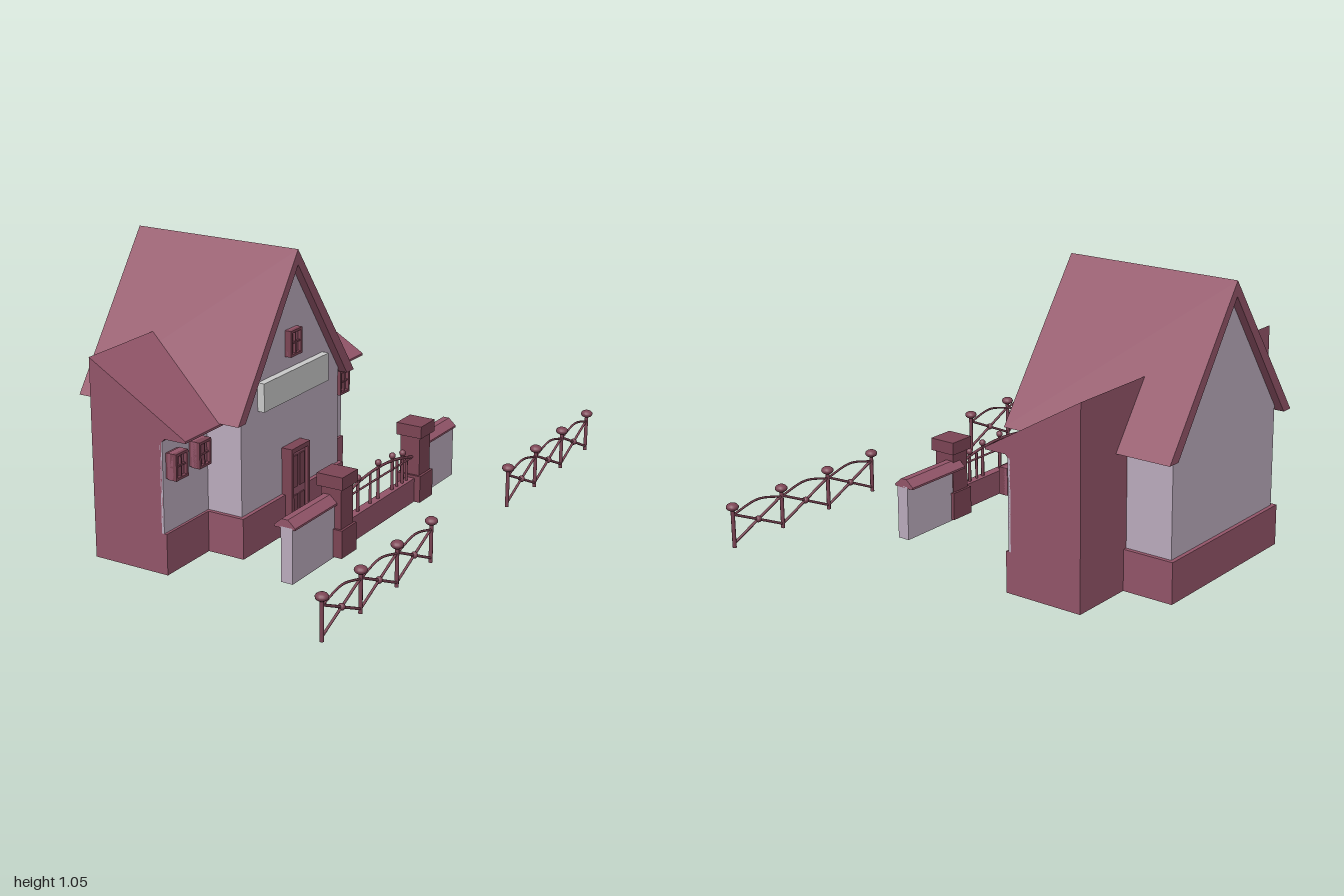
import * as THREE from 'three';

const mat = (color, side = THREE.FrontSide) =>
  new THREE.MeshStandardMaterial({ color, flatShading: true, side });
const RED = mat(0x94566a), DARK = mat(0x7d4555), WALL = mat(0xbdadbf), GREY = mat(0xcccccc);
const METAL = new THREE.MeshStandardMaterial({ color: 0x7d4555 });

function add(parent, name, geometry, material) {
  const m = new THREE.Mesh(geometry, material);
  m.name = name;
  parent.add(m);
  return m;
}

function group(parent, name) {
  const g = new THREE.Group();
  g.name = name;
  parent.add(g);
  return g;
}

// Box given by its limits on each axis
function box(parent, name, [x0, x1], [y0, y1], [z0, z1], material) {
  const m = add(parent, name, new THREE.BoxGeometry(x1 - x0, y1 - y0, z1 - z0), material);
  m.position.set((x0 + x1) / 2, (y0 + y1) / 2, (z0 + z1) / 2);
  return m;
}

// Profile of [x, y] points, extruded from z0 to z1
function alongZ(parent, name, pts, z0, z1, material) {
  const shape = new THREE.Shape(pts.map(p => new THREE.Vector2(...p)));
  const g = new THREE.ExtrudeGeometry(shape, { depth: z1 - z0, bevelEnabled: false });
  return add(parent, name, g.translate(0, 0, z0), material);
}

// Profile of [z, y] points, extruded from x0 to x1
function alongX(parent, name, pts, x0, x1, material) {
  const shape = new THREE.Shape(pts.map(([z, y]) => new THREE.Vector2(-z, y)));
  const g = new THREE.ExtrudeGeometry(shape, { depth: x1 - x0, bevelEnabled: false });
  return add(parent, name, g.rotateY(Math.PI / 2).translate(x0, 0, 0), material);
}

// Tube through [z, y] points at a fixed x
function rail(parent, name, x, pts, r) {
  const curve = new THREE.CatmullRomCurve3(pts.map(([z, y]) => new THREE.Vector3(x, y, z)));
  return add(parent, name, new THREE.TubeGeometry(curve, pts.length > 2 ? 16 : 1, r, 6), METAL);
}

function ball(parent, name, x, y, z, r, squash = 1) {
  const m = add(parent, name, new THREE.SphereGeometry(r, 14, 10), METAL);
  m.scale.y = squash;
  m.position.set(x, y, z);
}

function post(parent, name, x, y0, y1, z, r) {
  const m = add(parent, name, new THREE.CylinderGeometry(r, r, y1 - y0, 8), METAL);
  m.position.set(x, (y0 + y1) / 2, z);
}

// Framed window with a cross bar, facing +x
function window4(parent, x, y0, y1, z0, z1) {
  const g = group(parent, 'window'), t = 0.009, f = x + 0.025;
  const zc = (z0 + z1) / 2, yc = (y0 + y1) / 2;
  box(g, 'windowPane', [x - 0.01, x + 0.012], [y0, y1], [z0, z1], RED);
  for (const z of [z0, z1 - t]) box(g, 'windowJamb', [x, f], [y0, y1], [z, z + t], DARK);
  for (const y of [y0, y1 - t]) box(g, 'windowRail', [x, f], [y, y + t], [z0 + t, z1 - t], DARK);
  box(g, 'windowMullion', [x, f - 0.004], [y0, y1], [zc - 0.003, zc + 0.003], DARK);
  box(g, 'windowBar', [x, f - 0.005], [yc - 0.003, yc + 0.003], [z0, z1], DARK);
}

function buildHouse(root) {
  const house = group(root, 'house');
  alongX(house, 'gableWalls',
    [[0.37, 0.1], [0.37, 0.545], [0.05, 1.01], [-0.27, 0.545], [-0.27, 0.1]], -0.65, -0.035, WALL);
  box(house, 'plinth', [-0.665, -0.02], [0.02, 0.17], [-0.285, 0.385], RED);
  alongX(house, 'mainRoof',
    [[0.43, 0.52], [0.05, 1.055], [-0.335, 0.52], [-0.285, 0.52], [0.05, 1.0], [0.385, 0.52]],
    -0.68, -0.005, RED);

  // Cross wing with a lean-to roof, running out on both sides
  const wing = group(house, 'crossWing');
  alongZ(wing, 'wingBody',
    [[-0.47, 0.02], [-0.165, 0.02], [-0.165, 0.17], [-0.18, 0.17], [-0.18, 0.495], [-0.165, 0.51],
      [-0.08, 0.51], [-0.08, 0.518], [-0.47, 0.745]], -0.53, 0.63, RED);
  box(wing, 'wingFrontWall', [-0.185, -0.175], [0.17, 0.5], [-0.53, 0.63], WALL);
  for (const z of [0.41, 0.545, -0.38, -0.52]) window4(wing, -0.155, 0.362, 0.457, z, z + 0.07);
  for (const z of [0.41, 0.545, -0.38, -0.52])
    box(wing, 'windowReveal', [-0.176, -0.154], [0.364, 0.455], [z + 0.003, z + 0.067], DARK);

  window4(house, -0.035, 0.675, 0.77, 0.015, 0.09);
  box(house, 'signBoard', [-0.036, -0.008], [0.525, 0.628], [-0.16, 0.265], GREY);

  // Front door with frame and sunken panels
  const door = group(house, 'door');
  box(door, 'doorLeaf', [-0.045, -0.006], [0.005, 0.335], [0.0, 0.108], RED);
  for (const z of [-0.008, 0.1]) box(door, 'doorJamb', [-0.045, 0.008], [0, 0.345], [z, z + 0.014], DARK);
  box(door, 'doorLintel', [-0.045, 0.008], [0.328, 0.345], [0.006, 0.1], DARK);
  box(door, 'doorStep', [-0.045, 0.008], [0, 0.012], [0.006, 0.1], DARK);
  for (const y of [0.04, 0.19]) for (const z of [0.016, 0.06])
    box(door, 'doorPanel', [-0.01, -0.001], [y, y + 0.12], [z, z + 0.03], DARK);
}

function buildGardenWall(root) {
  const garden = group(root, 'gardenWall');
  // Each side: pillar centre x and z, wall centre x, wall z limits
  const sides = [[0.322, 0.33, 0.305, 0.33, 0.63], [0.303, -0.25, 0.282, -0.53, -0.25]];
  for (const [px, pz, wx, z0, z1] of sides) {
    const slab = (name, h, y0, y1) =>
      box(garden, name, [px - h, px + h], [y0, y1], [pz - h, pz + h], DARK);
    slab('pillarBase', 0.048, 0.11, 0.21);
    slab('pillarShaft', 0.039, 0.21, 0.36);
    slab('pillarCap', 0.05, 0.355, 0.4);
    box(garden, 'sideWall', [wx - 0.015, wx + 0.03], [0.105, 0.3], [z0, z1], WALL);
    alongZ(garden, 'sideCoping',
      [[wx - 0.04, 0.295], [wx + 0.04, 0.295], [wx + 0.04, 0.302], [wx + 0.012, 0.327],
        [wx - 0.012, 0.327], [wx - 0.04, 0.302]], z0, z1, RED);
  }
  box(garden, 'lowWall', [0.295, 0.328], [0.11, 0.2], [-0.21, 0.29], RED);

  // Arched railing on the low wall
  const railing = group(garden, 'railing'), x = 0.312;
  const arch = z => 0.315 - 0.6 * (z - 0.04) ** 2;
  rail(railing, 'archedRail', x, [0.29, 0.17, 0.04, -0.09, -0.21].map(z => [z, arch(z)]), 0.005);
  rail(railing, 'straightRail', x, [[0.29, 0.275], [-0.21, 0.275]], 0.004);
  for (const z of [0.25, 0.09, -0.1, -0.17]) post(railing, 'baluster', x, 0.195, arch(z), z, 0.005);
  for (const z of [0.175, 0.035, -0.065, -0.14]) {
    post(railing, 'tallBaluster', x, 0.195, arch(z) + 0.015, z, 0.006);
    ball(railing, 'balusterKnob', x, arch(z) + 0.018, z, 0.012);
  }
}

// Fence panel of three bays, starting at z0
function buildFence(root, z0) {
  const fence = group(root, 'fencePanel'), x = 0.655, step = 0.23;
  for (let i = 0; i < 4; i++) {
    const z = z0 + i * step;
    post(fence, 'fencePost', x, 0.13, 0.275, z, 0.007);
    ball(fence, 'fencePostKnob', x, 0.277, z, 0.022, 0.65);
    if (i === 3) break;
    const e = z + step, m = z + step / 2;
    rail(fence, 'fenceArch', x, [[z, 0.247], [m, 0.27], [e, 0.247]], 0.004);
    rail(fence, 'fenceBrace', x, [[z, 0.145], [e, 0.25]], 0.005);
    rail(fence, 'fenceBrace', x, [[z, 0.25], [e, 0.145]], 0.005);
    ball(fence, 'fenceCrossKnob', x, 0.198, m, 0.012);
  }
}

export function createModel() {
  const root = new THREE.Group();
  root.name = 'cottage';
  buildHouse(root);
  buildGardenWall(root);
  buildFence(root, 0.285);
  buildFence(root, -0.98);
  return root;
}
